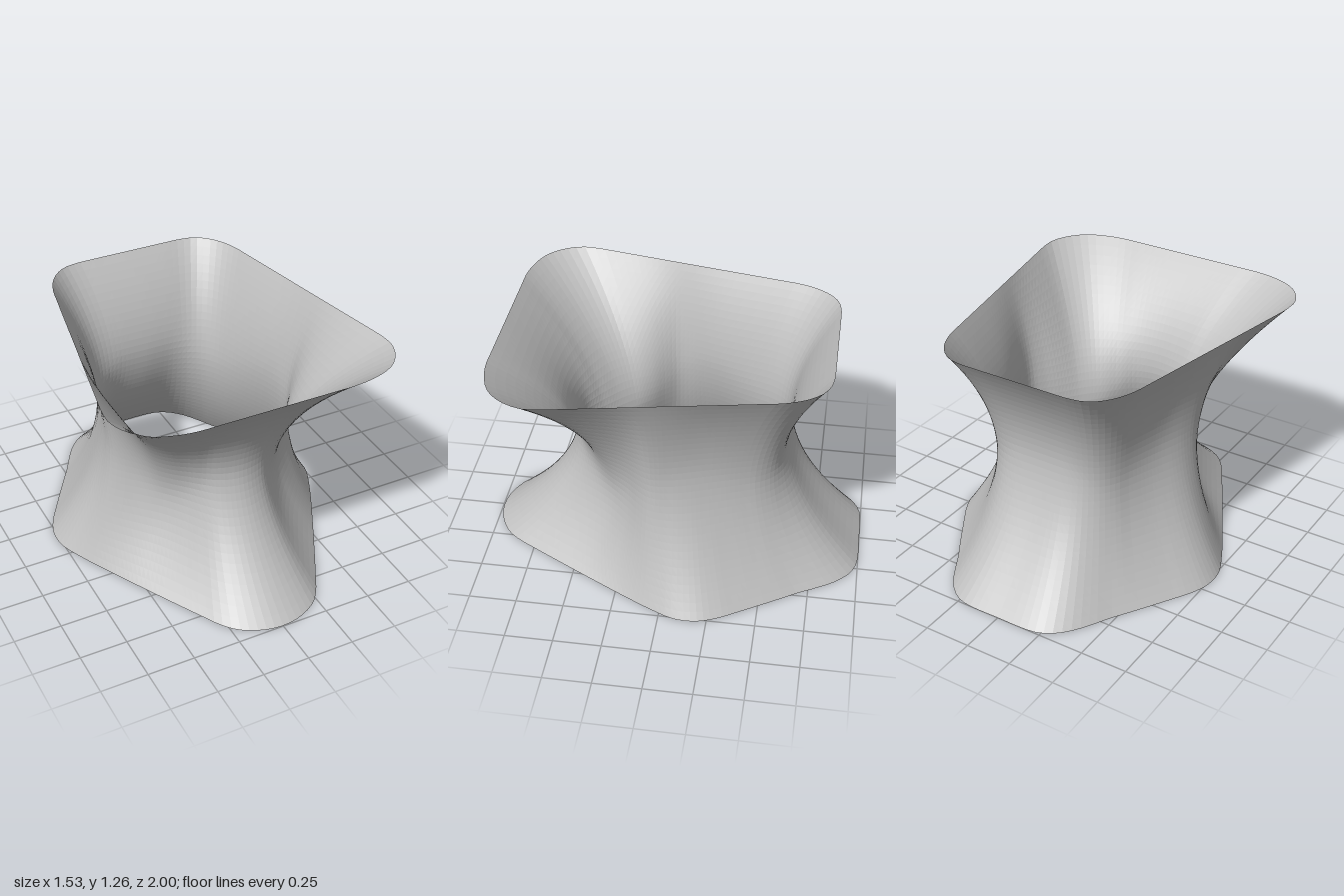
import * as THREE from 'three';
import { ParametricGeometry } from 'three/addons/geometries/ParametricGeometry.js';

const HEIGHT = 1.265;
const POWER = 1.85; // flare of the walls away from the waist

// Right halves (x, z) of the three outlines, from front centre to back centre
const bottomRim = [[0, 0.997], [0.08, 0.987], [0.16, 0.957], [0.225, 0.915], [0.28, 0.85], [0.33, 0.763],
  [0.45, 0.545], [0.6, 0.265], [0.675, 0.12], [0.72, 0.025], [0.755, -0.06], [0.766, -0.13], [0.757, -0.22],
  [0.715, -0.32], [0.67, -0.395], [0.55, -0.59], [0.48, -0.7], [0.43, -0.79], [0.37, -0.885], [0.3, -0.955],
  [0.23, -0.99], [0.16, -1], [0, -1]];
const topRim = [[0, 0.885], [0.3, 0.885], [0.43, 0.884], [0.535, 0.865], [0.64, 0.82], [0.715, 0.74],
  [0.753, 0.64], [0.745, 0.53], [0.73, 0.45], [0.64, -0.025], [0.555, -0.475], [0.535, -0.575], [0.5, -0.665],
  [0.455, -0.73], [0.39, -0.78], [0.31, -0.798], [0.22, -0.8], [0, -0.8]];
const waist = [[0, 0.542], [0.065, 0.534], [0.13, 0.51], [0.2, 0.453], [0.24, 0.408], [0.34, 0.292],
  [0.42, 0.2], [0.48, 0.135], [0.513, 0.085], [0.52, 0.04], [0.507, -0.04], [0.455, -0.2], [0.395, -0.38],
  [0.36, -0.465], [0.31, -0.53], [0.25, -0.567], [0.18, -0.583], [0, -0.585]];

// Returns the radius of a mirrored outline at an angle measured from the front
function radiusOf(half) {
  const right = half.map(([x, z]) => new THREE.Vector3(x, 0, z));
  const left = right.slice(1, -1).reverse().map((p) => new THREE.Vector3(-p.x, 0, p.z));
  const table = new THREE.CatmullRomCurve3([...right, ...left], true).getPoints(800)
    .filter((p) => p.x >= -1e-6)
    .map((p) => ({ angle: Math.abs(Math.atan2(p.x, p.z)), radius: Math.hypot(p.x, p.z) }))
    .sort((a, b) => a.angle - b.angle);
  return (angle) => {
    const a = angle > Math.PI ? Math.PI * 2 - angle : angle;
    const i = table.findIndex((e) => e.angle >= a);
    if (i <= 0) return i === 0 ? table[0].radius : table[table.length - 1].radius;
    const p = table[i - 1], q = table[i];
    return THREE.MathUtils.lerp(p.radius, q.radius, (a - p.angle) / (q.angle - p.angle || 1));
  };
}

export function createModel() {
  const group = new THREE.Group();
  group.name = 'pinchedTube';
  const grey = new THREE.MeshStandardMaterial({ color: 0xc0c0c0, side: THREE.DoubleSide, flatShading: true });
  grey.name = 'light grey';

  const bottomAt = radiusOf(bottomRim), topAt = radiusOf(topRim), waistAt = radiusOf(waist);

  // Each wall line swells from its narrowest point to meet both rims
  const surface = (u, v, target) => {
    const angle = u * Math.PI * 2, y = v * HEIGHT;
    const neck = waistAt(angle);
    const down = Math.pow(Math.max(bottomAt(angle) - neck, 0.001), 1 / POWER);
    const up = Math.pow(Math.max(topAt(angle) - neck, 0.001), 1 / POWER);
    const neckY = HEIGHT * down / (down + up);
    const swell = Math.abs(y - neckY) * (down + up) / HEIGHT;
    const r = neck + Math.pow(swell, POWER);
    target.set(Math.sin(angle) * r, y, Math.cos(angle) * r);
  };

  const shell = new THREE.Mesh(new ParametricGeometry(surface, 144, 32), grey);
  shell.name = 'shell';
  group.add(shell);
  return group;
}
